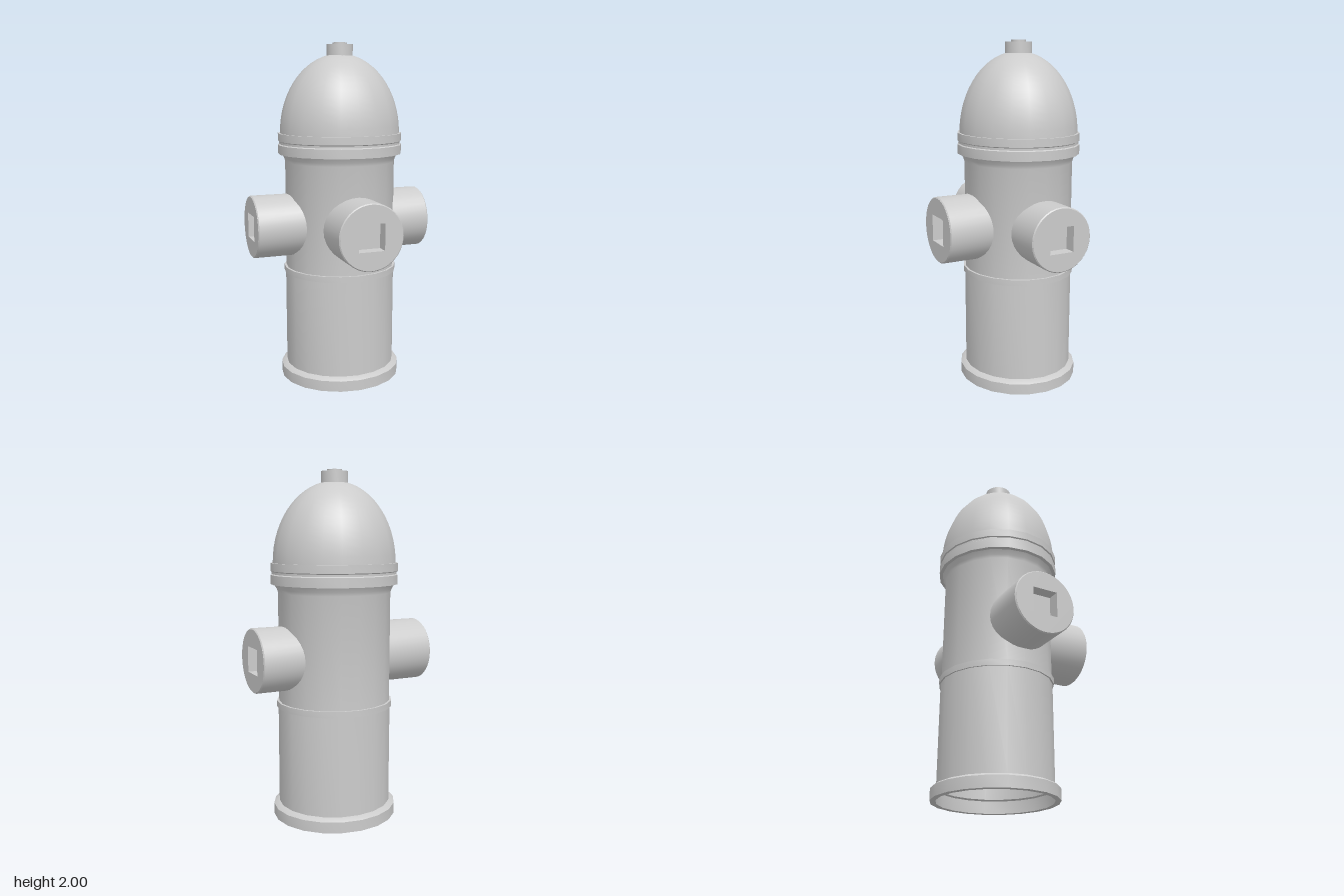
import * as THREE from 'three';
import { toCreasedNormals } from 'three/addons/utils/BufferGeometryUtils.js';

const material = new THREE.MeshStandardMaterial({ color: 0xcccccc, side: THREE.DoubleSide });
const DEPTH_RATIO = 0.958; // barrel is slightly narrower front to back

function addMesh(parent, name, geometry) {
  const mesh = new THREE.Mesh(geometry, material);
  mesh.name = name;
  parent.add(mesh);
  return mesh;
}

// Lathe from [radius, height] pairs with sharp edges kept
function turned(profile, sides, depth = 1) {
  const points = profile.map(([r, y]) => new THREE.Vector2(r, y));
  const geometry = new THREE.LatheGeometry(points, sides);
  geometry.scale(1, 1, depth);
  return toCreasedNormals(geometry, 0.5);
}

// Hose outlet pointing along +z, with a square socket in its end
function createOutlet(name, radius, length, half) {
  const outlet = new THREE.Group();
  outlet.name = name;
  const start = 0.24, bevel = 0.006, socketDepth = 0.07;

  const tube = turned([[radius, start], [radius, length - bevel], [radius - bevel, length]], 32);
  tube.rotateX(Math.PI / 2);
  addMesh(outlet, 'outletTube', tube);

  const face = new THREE.Shape().absarc(0, 0, radius - bevel, 0, Math.PI * 2);
  face.holes.push(new THREE.Path([
    new THREE.Vector2(-half, -half), new THREE.Vector2(-half, half),
    new THREE.Vector2(half, half), new THREE.Vector2(half, -half),
  ]));
  const plate = new THREE.ExtrudeGeometry(face, { depth: socketDepth, bevelEnabled: false, curveSegments: 32 });
  plate.translate(0, 0, length - socketDepth);
  addMesh(outlet, 'outletFace', plate);

  const floor = addMesh(outlet, 'socketFloor', new THREE.PlaneGeometry(half * 2, half * 2));
  floor.position.z = length - socketDepth;
  return outlet;
}

export function createModel() {
  const hydrant = new THREE.Group();
  hydrant.name = 'hydrant';
  const body = new THREE.Group();
  body.name = 'body';
  body.position.set(0.02, 0, -0.082);
  hydrant.add(body);

  // Hollow barrel with foot ring, waist band and flared neck
  addMesh(body, 'barrel', turned([
    [0.33, 0.07], [0.33, 0], [0.363, 0], [0.363, 0.063], [0.345, 0.075], [0.33, 0.08],
    [0.33, 0.652], [0.339, 0.652], [0.339, 0.687], [0.326, 0.687],
    [0.326, 1.315], [0.332, 1.335], [0.347, 1.36],
  ], 20, DEPTH_RATIO));

  // Two stacked flange rings with a groove between
  addMesh(body, 'flange', turned([
    [0.335, 1.362], [0.367, 1.362], [0.367, 1.415], [0.36, 1.42],
    [0.36, 1.432], [0.367, 1.437], [0.367, 1.482], [0.35, 1.482],
  ], 20, DEPTH_RATIO));

  // Domed bonnet
  const dome = [];
  for (let i = 0; i <= 16; i++) {
    const a = (i / 16) * Math.PI / 2;
    dome.push([0.354 * Math.cos(a), 1.48 + 0.458 * Math.sin(a)]);
  }
  addMesh(body, 'bonnet', turned(dome, 20, DEPTH_RATIO));

  // Top nut with a small raised disc
  addMesh(body, 'topNut', turned([
    [0.076, 1.915], [0.076, 1.99], [0.042, 1.99], [0.042, 2], [0, 2],
  ], 32));

  // Front and side outlets
  const outlets = [
    ['frontOutlet', 0.19, 0.512, 0.077, 0],
    ['leftOutlet', 0.182, 0.504, 0.073, Math.PI / 2],
    ['rightOutlet', 0.182, 0.547, 0.073, -Math.PI / 2],
  ];
  for (const [name, radius, length, half, turn] of outlets) {
    const outlet = createOutlet(name, radius, length, half);
    outlet.position.y = 0.95;
    outlet.rotation.y = turn;
    body.add(outlet);
  }
  return hydrant;
}
